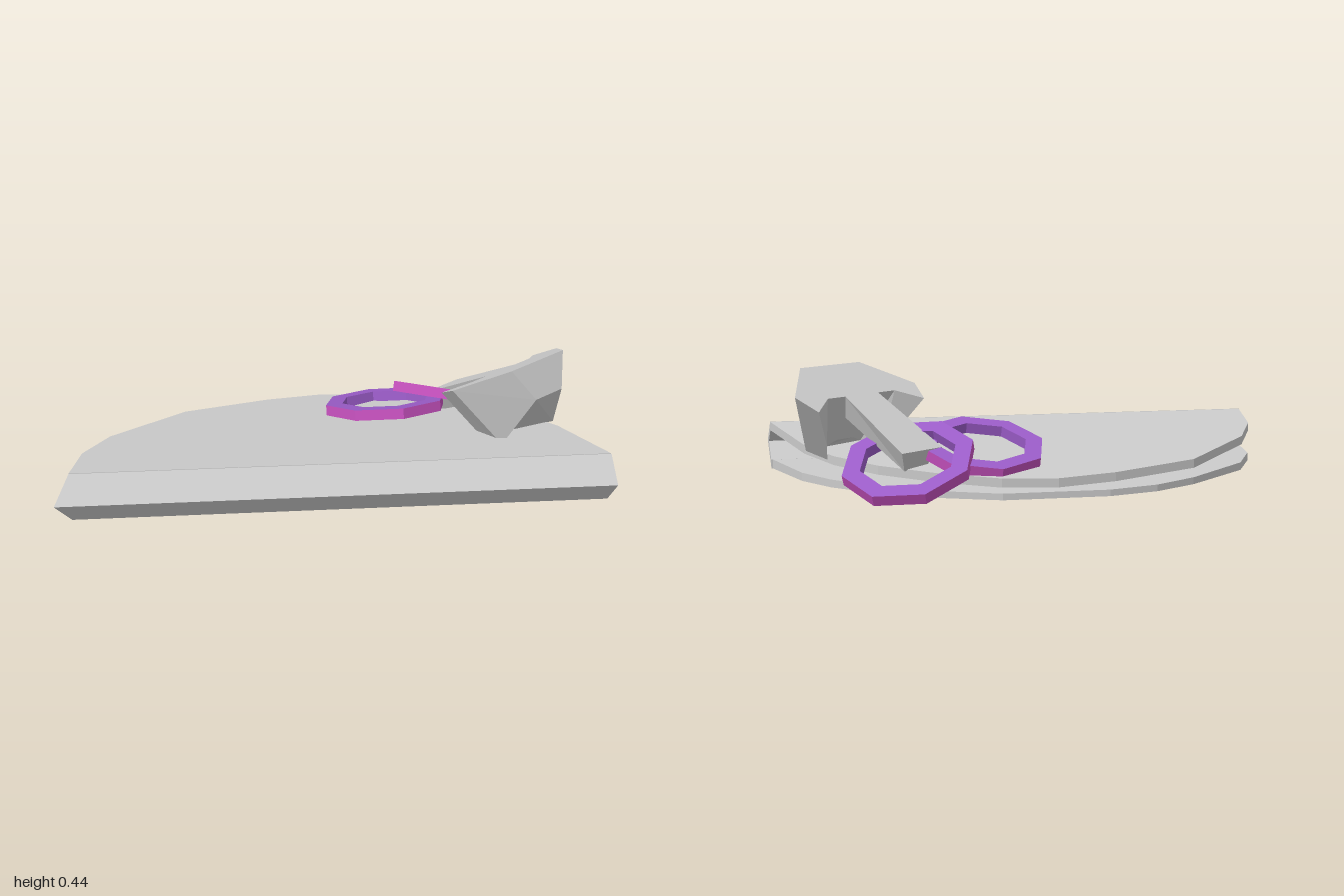
import * as THREE from 'three';

const material = (color) => new THREE.MeshStandardMaterial({ color, flatShading: true, side: THREE.DoubleSide });
const grey = material(0xcccccc);
const purple = material(0x9b5cc8);
const magenta = material(0xc450bc);

function addMesh(parent, name, geometry, mat) {
  const mesh = new THREE.Mesh(geometry, mat);
  mesh.name = name;
  parent.add(mesh);
  return mesh;
}

// Extrudes a 2D outline by one unit, then moves every vertex by a rule
function mouldedExtrude(points, rule) {
  const shape = new THREE.Shape(points.map(([a, b]) => new THREE.Vector2(a, b)));
  const geo = new THREE.ExtrudeGeometry(shape, { depth: 1, bevelEnabled: false, steps: 1 });
  const p = geo.attributes.position;
  for (let i = 0; i < p.count; i++) p.setXYZ(i, ...rule(p.getX(i), p.getY(i), p.getZ(i)));
  geo.computeVertexNormals();
  return geo;
}

// Flat sheet with an (x, z) outline between two heights that depend on z
function sheet(outline, bottom, top) {
  return mouldedExtrude(outline.map(([x, z]) => [x, -z]),
    (x, y, s) => [x, THREE.MathUtils.lerp(bottom(-y), top(-y), s), -y]);
}

// Solid from mirrored half profile rows [u, v, depth]; the far side is half as wide
function taperedSlice(half) {
  const left = half.map(([u, v]) => [-u, v]).reverse();
  const depthAt = (u, v) => half.find((r) => Math.abs(r[0] - Math.abs(u)) < 1e-4 && Math.abs(r[1] - v) < 1e-4)[2];
  return mouldedExtrude([...half.map(([u, v]) => [u, v]), ...left],
    (u, v, s) => [u * (1 - 0.5 * s), v, depthAt(u, v) * s]);
}

// Octagonal ring: purple faces and inner wall, magenta outer wall
function onionRing(name, radius, center, slopeX, slopeZ, turn) {
  const ring = new THREE.Group();
  ring.name = name;
  const inner = radius - 0.066, h = 0.02;
  const lathe = (pts) => new THREE.LatheGeometry(pts.map(([r, y]) => new THREE.Vector2(r, y)), 8, turn);
  addMesh(ring, 'ringFlesh', lathe([[radius, h], [inner, h], [inner, -h], [radius, -h]]), purple);
  addMesh(ring, 'ringSkin', lathe([[radius, -h], [radius, h]]), magenta);
  ring.position.set(...center);
  ring.quaternion.setFromUnitVectors(new THREE.Vector3(0, 1, 0),
    new THREE.Vector3(-slopeX, 1, -slopeZ).normalize());
  return ring;
}

export function createModel() {
  const model = new THREE.Group();
  model.name = 'foldedShellWithFilling';

  // Folded shell: two half-round sheets joined by a V-shaped fold
  const shell = new THREE.Group();
  shell.name = 'shell';
  model.add(shell);
  const topOutline = [
    [-0.95, 0.405], [-0.92, 0.2], [-0.83, 0.02], [-0.55, -0.25], [-0.22, -0.37], [0, -0.415],
    [0.2, -0.395], [0.42, -0.31], [0.62, -0.2], [0.77, -0.07], [0.87, 0.08], [0.99, 0.405],
  ];
  const bottomOutline = [
    [-0.95, 0.41], [-0.92, 0.2], [-0.82, 0.0], [-0.55, -0.25], [-0.38, -0.355], [-0.19, -0.41],
    [0.2, -0.41], [0.4, -0.33], [0.62, -0.2], [0.78, -0.05], [0.88, 0.1], [0.99, 0.41],
  ];
  const slope = (z) => 0.185 + 0.136 * (z - 0.41);
  addMesh(shell, 'upperSheet', sheet(topOutline, (z) => slope(z) - 0.033, slope), grey);
  addMesh(shell, 'lowerSheet', sheet(bottomOutline, () => 0, (z) => 0.03 + 0.015 * z), grey);
  const foldSection = [[0.41, 0], [0.493, 0.1], [0.41, 0.185], [0.4, 0.151], [0.46, 0.1], [0.39, 0.036], [0.39, 0]];
  addMesh(shell, 'fold', mouldedExtrude(foldSection, (z, y, s) => {
    const k = THREE.MathUtils.clamp((z - 0.41) / 0.083, 0, 1);
    return [THREE.MathUtils.lerp(0.99 + 0.01 * k, -0.95 - 0.05 * k, s), y, z];
  }), grey);

  // Mushroom slice: flat face up and back, faceted cap narrowing downwards, flared stem
  const mushroom = new THREE.Group();
  mushroom.name = 'mushroom';
  addMesh(mushroom, 'mushroomCap', taperedSlice([
    [0.145, 0, 0.132], [0.295, -0.17, 0.256], [0.26, -0.27, 0.228], [0.165, -0.2, 0.22], [0.08, -0.2, 0.2],
  ]), grey);
  addMesh(mushroom, 'mushroomStem', taperedSlice([
    [0.08, -0.19, 0.1], [0.1, -0.56, 0.085],
  ]), grey);
  const u = new THREE.Vector3(0.79, 0, -0.61).normalize();
  const v = new THREE.Vector3(0.534, 0.485, 0.69).normalize();
  const n = new THREE.Vector3().crossVectors(u, v);
  mushroom.quaternion.setFromRotationMatrix(new THREE.Matrix4().makeBasis(u, v, n));
  mushroom.position.set(0.765, 0.435, 0.125);
  model.add(mushroom);

  // Two overlapping onion rings
  model.add(onionRing('onionRingInner', 0.24, [0.235, 0.15, -0.147], 0.05, 0.27, 0.18));
  model.add(onionRing('onionRingOuter', 0.243, [0.515, 0.122, -0.264], -0.21, 0.44, 0.1));

  return model;
}
